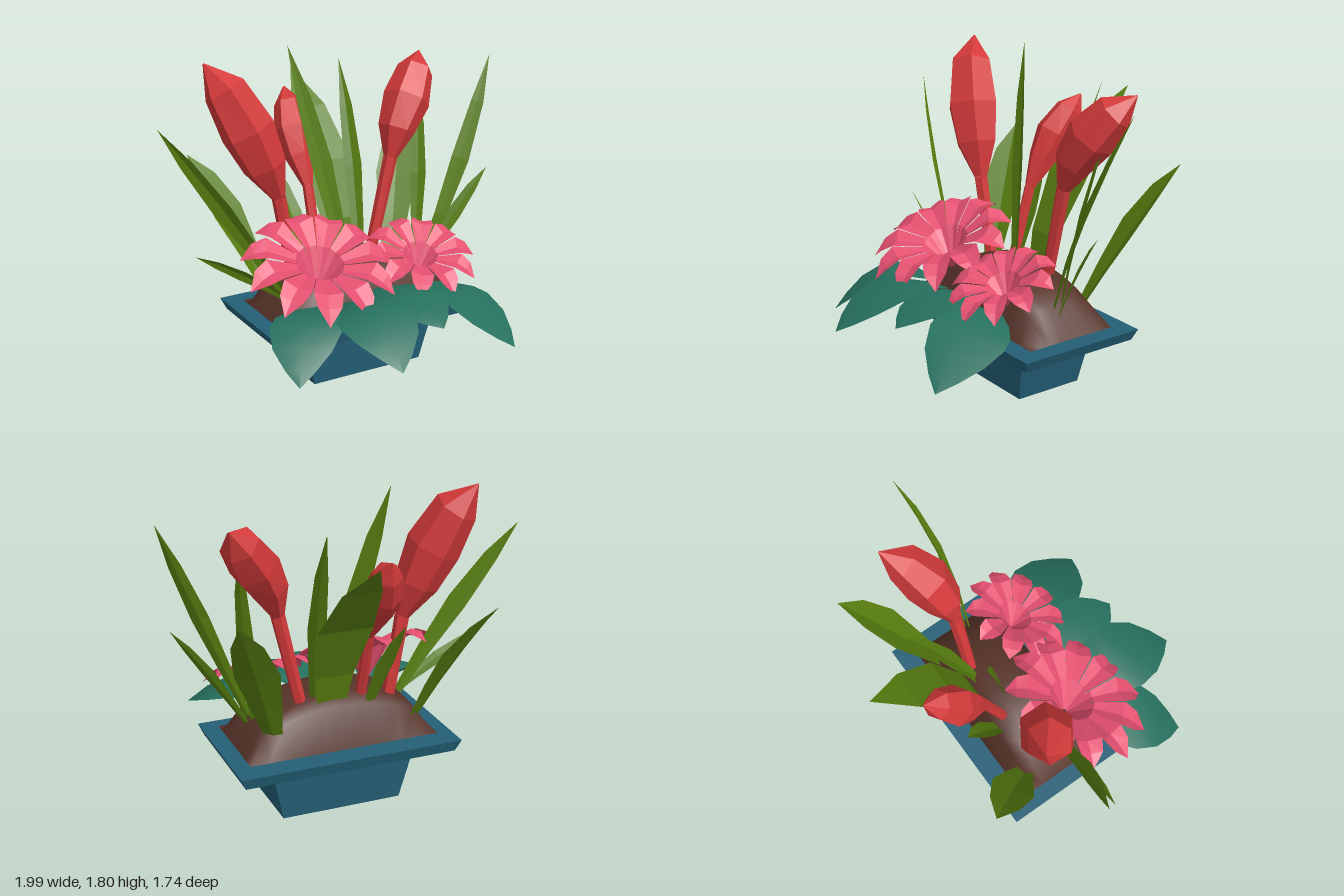
import * as THREE from 'three';

const V = (a) => new THREE.Vector3(...a);
const paint = (name, color) => new THREE.MeshStandardMaterial({ name, color, side: THREE.DoubleSide });

// Faceted surface through a list of rows of points; closed rows wrap around.
function skin(rows, closed) {
  const pos = [], index = [], n = rows[0].length;
  rows.forEach((row) => row.forEach((p) => pos.push(p.x, p.y, p.z)));
  for (let i = 0; i < rows.length - 1; i++) {
    for (let j = 0; j < (closed ? n : n - 1); j++) {
      const a = i * n + j, b = i * n + (j + 1) % n;
      index.push(a, a + n, b, b, a + n, b + n);
    }
  }
  const g = new THREE.BufferGeometry();
  g.setAttribute('position', new THREE.Float32BufferAttribute(pos, 3));
  g.setIndex(index);
  return g;
}

function flat(g) {
  const f = g.toNonIndexed();
  f.computeVertexNormals();
  return f;
}

// Leaf or petal: ribbon along a curve, folded along its midrib.
// profile holds [position along curve, fraction of half width].
function ribbon(base, bend, tip, side, half, profile, fold) {
  const curve = new THREE.QuadraticBezierCurve3(V(base), V(bend), V(tip));
  const rows = profile.map(([t, k]) => {
    const p = curve.getPoint(t), tan = curve.getTangent(t);
    const w = V(side).addScaledVector(tan, -V(side).dot(tan)).normalize();
    const up = w.clone().cross(tan).multiplyScalar(fold * half * k);
    w.multiplyScalar(half * k);
    return [p.clone().sub(w).add(up), p, p.clone().add(w).add(up)];
  });
  return skin(rows);
}

// Six-sided tube through [x, y, z, radius] stations.
function tube(stations) {
  const c = stations.map((s) => V(s.slice(0, 3)));
  return flat(skin(c.map((p, i) => {
    const tan = c[Math.min(i + 1, c.length - 1)].clone().sub(c[Math.max(i - 1, 0)]).normalize();
    const u = new THREE.Vector3(0, 0, 1).addScaledVector(tan, -tan.z).normalize();
    const v = tan.clone().cross(u);
    return Array.from({ length: 6 }, (_, k) => {
      const a = k * Math.PI / 3, r = stations[i][3];
      return p.clone().addScaledVector(u, r * Math.cos(a)).addScaledVector(v, r * Math.sin(a));
    });
  }), true));
}

export function createModel() {
  const root = new THREE.Group();
  root.name = 'pottedFlowers';
  const blue = paint('potBlue', 0x245f76), brown = paint('soilBrown', 0x573329);
  const red = paint('budRed', 0xd43a3a), green = paint('bladeGreen', 0x587f10);
  const teal = paint('leafTeal', 0x26705e), pink = paint('petalPink', 0xe55070);
  const add = (name, geo, mat, parent = root) => {
    const m = new THREE.Mesh(geo, mat);
    m.name = name;
    parent.add(m);
  };
  const group = (name) => {
    const g = new THREE.Group();
    g.name = name;
    root.add(g);
    return g;
  };

  // Pot: tapered foot open below, flared rim, closed top; [y, half x, half z]
  const ring = ([y, x, z]) => [[-1, -1], [-1, 1], [1, 1], [1, -1]]
    .map(([a, b]) => new THREE.Vector3(0.06 + a * x, y, -0.105 + b * z));
  const pot = (name, rings) => add(name, flat(skin(rings.map(ring), true)), blue);
  pot('potFoot', [[0, 0.34, 0.2], [0.255, 0.4, 0.23], [0.255, 0, 0]]);
  pot('potRim', [[0.255, 0.4, 0.23], [0.3, 0.6, 0.355], [0.365, 0.63, 0.375], [0.365, 0, 0]]);

  // Soil mound
  const soil = new THREE.PlaneGeometry(2, 2, 10, 8).rotateX(-Math.PI / 2);
  const sp = soil.attributes.position;
  for (let i = 0; i < sp.count; i++) {
    const u = sp.getX(i), v = sp.getZ(i);
    const h = Math.pow((1 - u ** 2) * (1 - v ** 4), 0.6);
    sp.setXYZ(i, 0.06 + 0.54 * u, 0.375 + 0.285 * h, -0.095 + 0.27 * v);
  }
  soil.computeVertexNormals();
  add('soil', soil, brown);

  // Red buds on stems: stem foot, then bud stations
  const buds = group('budFlowers');
  [
    [[-0.22, 0.36, -0.2], [[-0.34, 1.02, -0.18, 0.04], [-0.41, 1.2, -0.2, 0.12], [-0.49, 1.4, -0.23, 0.15], [-0.59, 1.62, -0.29, 0.12], [-0.67, 1.755, -0.37, 0.004]]],
    [[0.2, 0.36, -0.2], [[0.38, 1.13, -0.2, 0.04], [0.43, 1.28, -0.22, 0.105], [0.52, 1.43, -0.26, 0.135], [0.62, 1.57, -0.33, 0.105], [0.695, 1.66, -0.41, 0.004]]],
    [[-0.08, 0.36, -0.15], [[-0.08, 1.0, -0.33, 0.03], [-0.085, 1.15, -0.42, 0.08], [-0.08, 1.28, -0.5, 0.11], [-0.06, 1.41, -0.59, 0.08], [-0.05, 1.49, -0.66, 0.004]]],
  ].forEach(([foot, bud]) => {
    add('budStem', tube([[...foot, 0.03], bud[0]]), red, buds);
    add('bud', tube(bud), red, buds);
  });

  // Upright green blades: base, tip, width direction, half width, bend offset
  const blades = group('blades');
  const bladeShape = [[0, 0.3], [0.3, 0.7], [0.55, 1], [0.8, 0.7], [1, 0]];
  [
    [[-0.33, 0.42, -0.03], [-1, 1.48, -0.23], [0.7, -0.2, 0.5], 0.055, [0, 0.05, 0.04]],
    [[-0.33, 0.45, 0], [-0.89, 0.82, -0.06], [0.3, 0.7, 0.5], 0.035, [0, 0.05, 0]],
    [[-0.36, 0.4, -0.26], [-0.66, 1.18, -0.66], [1, 0, -0.5], 0.12, [0, 0.08, 0]],
    [[-0.1, 0.45, -0.22], [-0.2, 1.09, -0.52], [1, 0, -0.2], 0.06, [0, 0.05, 0]],
    [[0.08, 0.36, -0.1], [-0.18, 1.8, -0.36], [1, 0, 0.2], 0.06, [0.03, 0, 0.02]],
    [[0.1, 0.36, -0.2], [0.105, 1.54, -0.87], [1, 0, 0], 0.155, [0, 0.15, 0.25]],
    [[0.15, 0.36, -0.15], [0.25, 1.64, -0.56], [0.8, 0, 0.6], 0.05, [0.04, 0, 0.05]],
    [[0.42, 0.4, -0.26], [0.75, 1.27, -0.68], [1, 0, 0.5], 0.12, [0, 0.06, 0]],
    [[0.46, 0.42, -0.06], [0.99, 1.66, -0.13], [0.7, -0.3, 0.5], 0.05, [0, 0, 0.1]],
    [[0.48, 0.42, -0.08], [0.9, 1.04, 0], [0.5, -0.3, 0.6], 0.04, [0, 0.04, 0]],
    [[0.48, 0.42, -0.1], [0.62, 1.5, -0.3], [0.8, 0, 0.5], 0.045, [0, 0, 0.05]],
  ].forEach(([base, tip, side, half, off]) => {
    const bend = base.map((b, i) => (b + tip[i]) / 2 + off[i]);
    const fold = half > 0.15 ? 0 : 0.25;
    add('blade', flat(ribbon(base, bend, tip, side, half, bladeShape, fold)), green, blades);
  });

  // Broad drooping leaves over the front rim
  const leaves = group('broadLeaves');
  const leafShape = [[0, 0.15], [0.2, 0.65], [0.4, 0.95], [0.55, 1], [0.75, 0.8], [0.9, 0.4], [1, 0]];
  [
    [[-0.28, 0.5, 0.18], [-0.65, 0.3, 0.62], [1, 0.1, 0.6], 0.19, [-0.52, 0.68, 0.4]],
    [[-0.14, 0.5, 0.2], [-0.2, 0.38, 0.87], [1, 0.12, 0], 0.21, [-0.16, 0.72, 0.55]],
    [[0.08, 0.52, 0.15], [0.15, 0.48, 0.71], [1, 0.05, 0], 0.18, [0.12, 0.66, 0.45]],
    [[0.34, 0.52, 0.2], [0.58, 0.29, 0.755], [1, -0.25, -0.3], 0.215, [0.47, 0.64, 0.45]],
  ].forEach(([base, tip, side, half, bend]) => {
    const g = ribbon(base, bend, tip, side, half, leafShape, 0.12);
    g.computeVertexNormals();
    add('broadLeaf', g, teal, leaves);
  });

  // Pink flowers: arching petals around a forward-tilted disc
  const petalShape = [[0, 0.06], [0.35, 0.45], [0.7, 1], [0.85, 0.8], [1, 0]];
  [
    [[-0.25, 0.55, 0.08], [-0.27, 0.69, 0.14], 0.43, 0.08, 11],
    [[0.35, 0.54, 0.14], [0.35, 0.65, 0.18], 0.32, 0.065, 10],
  ].forEach(([base, mid, r, half, count]) => {
    const flower = group('pinkFlower');
    for (let i = 0; i < count; i++) {
      const a = (i + 0.3) / count * Math.PI * 2, c = Math.cos(a), s = Math.sin(a);
      const tip = [mid[0] + r * c, mid[1] - 0.4 * r * s, mid[2] + 0.87 * r * s];
      const bend = [0.42, 0.42, 0.42].map((k, j) => base[j] + (tip[j] - base[j]) * k + [0, 0.66 * r, 0.12 * r][j]);
      const side = [-s, -0.4 * c, 0.87 * c];
      add('petal', flat(ribbon(base, bend, tip, side, half, petalShape, 0.3)), pink, flower);
    }
  });

  return root;
}
